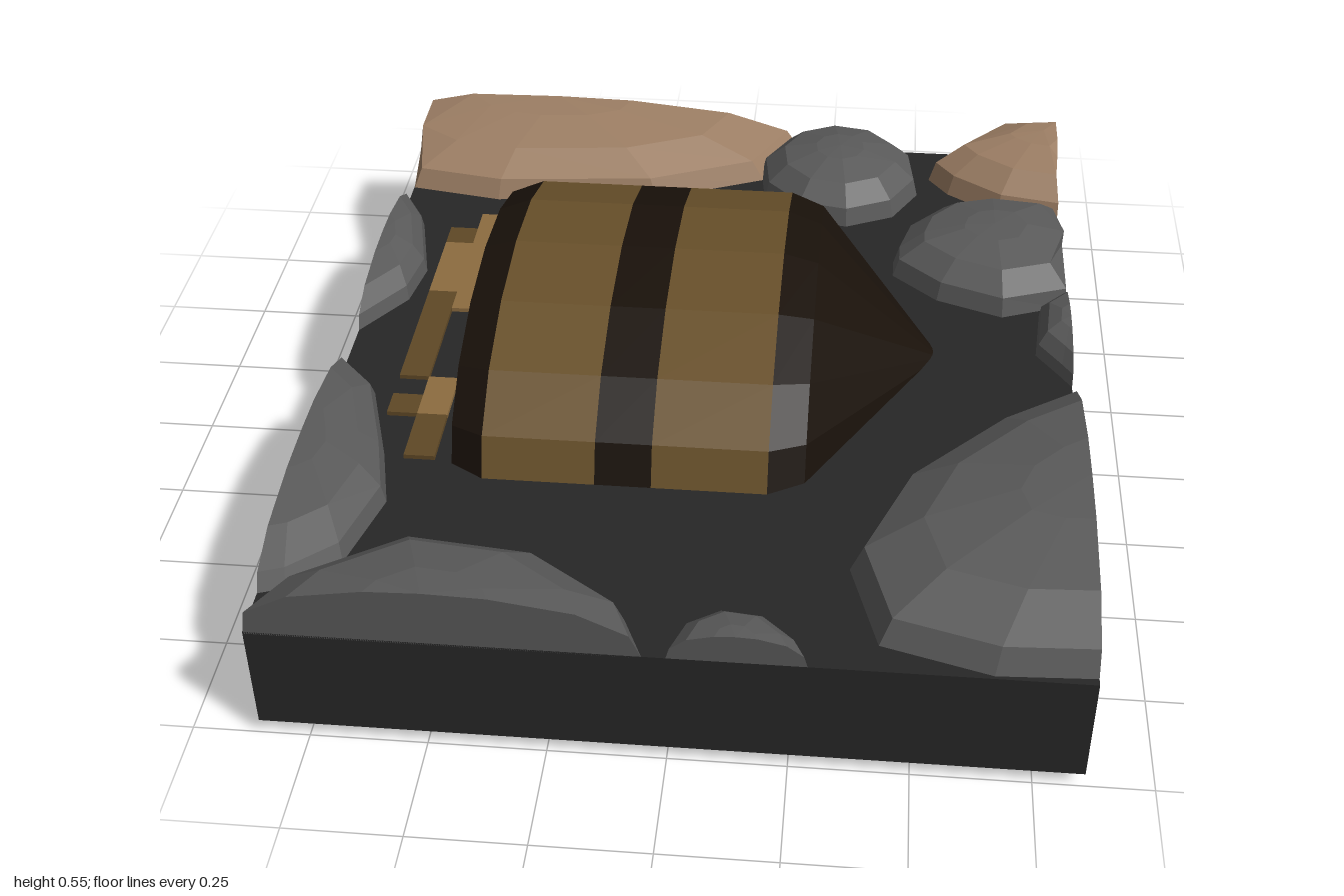
import * as THREE from 'three';

const HX = 0.855, HZ = 1, GROUND = 0.29;
const mat = (color) => new THREE.MeshStandardMaterial({ color, flatShading: true, side: THREE.DoubleSide });
const GREY = mat(0x5a5a5a), TAN = mat(0x9c7e64), BLACK = mat(0x19110a), BROWN = mat(0x68502a);
const SLAB = mat(0x272727), LIGHT = mat(0x8c6c40), DARK = mat(0x5f4826);

// Faceted dome: outline [x, z] shrinks in rings to a peak [x, y, z]; anything past the slab is cut off flat
function dome(outline, [px, py, pz]) {
  const pts = outline.map(([x, z]) => new THREE.Vector2(x, z));
  if (!THREE.ShapeUtils.isClockWise(pts)) pts.reverse();
  const rings = [[1, 0], [0.94, 0.42], [0.7, 0.78], [0.3, 0.97], [0, 1]];
  const n = pts.length, pos = [], idx = [];
  for (const [s, h] of rings) {
    for (const p of pts) {
      pos.push(
        THREE.MathUtils.clamp(px + (p.x - px) * s, -HX, HX),
        GROUND - 0.005 + (py - GROUND + 0.005) * h,
        THREE.MathUtils.clamp(pz + (p.y - pz) * s, -HZ, HZ));
    }
  }
  for (let r = 0; r < rings.length - 1; r++) {
    for (let i = 0; i < n; i++) {
      const a = r * n + i, b = r * n + (i + 1) % n;
      idx.push(a, b, a + n);
      if (r < rings.length - 2) idx.push(b, b + n, a + n);
    }
  }
  const g = new THREE.BufferGeometry();
  g.setAttribute('position', new THREE.Float32BufferAttribute(pos, 3));
  g.setIndex(idx);
  g.computeVertexNormals();
  return g;
}

// Regular outline for round stones
const round = (cx, cz, r, n) => Array.from({ length: n }, (_, i) => {
  const a = (i + 0.3) / n * Math.PI * 2;
  return [cx + r * Math.cos(a), cz + r * Math.sin(a)];
});

export function createModel() {
  const model = new THREE.Group();
  const add = (parent, name, geometry, material) => {
    const m = new THREE.Mesh(geometry, material);
    m.name = name;
    parent.add(m);
    return m;
  };

  // Ground slab
  add(model, 'groundSlab', new THREE.BoxGeometry(HX * 2, 0.255, HZ * 2), SLAB).position.y = 0.1625;

  // Striped body: sixteen-sided, squashed, lying along x with a pointed +x end
  const body = new THREE.Group();
  body.name = 'stripedBody';
  body.position.set(0, 0.275, -0.075);
  model.add(body);
  const sections = [
    ['flatEnd', BLACK, [[-0.535, 0], [-0.535, 0.92], [-0.46, 1]]],
    ['rearBrownBand', BROWN, [[-0.46, 1], [-0.21, 1]]],
    ['blackBand', BLACK, [[-0.21, 1], [-0.085, 1]]],
    ['frontBrownBand', BROWN, [[-0.085, 1], [0.17, 1]]],
    ['pointedEnd', BLACK, [[0.17, 1], [0.25, 0.92], [0.55, 0]]],
  ];
  for (const [name, material, profile] of sections) {
    const g = new THREE.LatheGeometry(profile.map(([x, r]) => new THREE.Vector2(r, x)), 16);
    g.rotateZ(-Math.PI / 2);
    g.scale(1, 0.275, 0.565);
    add(body, name, g, material);
  }

  // Stones around the rim
  const stones = new THREE.Group();
  stones.name = 'stones';
  model.add(stones);
  const list = [
    ['backLongStone', TAN, [-0.5, 0.42, -1],
      [[-1.3, -1], [-1.1, -0.8], [-0.855, -0.7], [-0.62, -0.66], [-0.2, -0.7], [0.08, -0.82], [0.17, -1]]],
    ['backRoundStone', GREY, [0.28, 0.41, -0.82], round(0.28, -0.82, 0.215, 10)],
    ['backCornerStone', TAN, [0.82, 0.425, -0.92],
      [[0.52, -0.86], [0.57, -0.79], [0.7, -0.7], [0.86, -0.67], [1.1, -0.8], [1.1, -1.1], [0.68, -1.05]]],
    ['sideRoundStone', GREY, [0.68, 0.41, -0.47],
      [[0.43, -0.45], [0.46, -0.56], [0.55, -0.66], [0.68, -0.7], [0.85, -0.68], [0.95, -0.5],
        [0.87, -0.29], [0.7, -0.23], [0.54, -0.29], [0.43, -0.39]]],
    ['sideSmallStone', GREY, [HX, 0.37, -0.14],
      [[HX, -0.32], [0.79, -0.25], [0.775, -0.08], [0.83, 0], [HX, 0.04]]],
    ['frontCornerStone', GREY, [HX, 0.43, 0.52],
      [[HX, 0.1], [0.68, 0.22], [0.46, 0.45], [0.355, 0.71], [0.42, 0.93], [0.65, 0.995], [HX, 0.985]]],
    ['frontLongStone', GREY, [-0.48, 0.425, 1],
      [[-0.87, 1], [-0.8, 0.88], [-0.57, 0.73], [-0.29, 0.76], [-0.09, 0.9], [-0.045, 1]]],
    ['frontSmallStone', GREY, [0.14, 0.36, 1],
      [[0, 1], [0.03, 0.92], [0.1, 0.875], [0.19, 0.885], [0.26, 0.95], [0.285, 1]]],
    ['sideLongStone', GREY, [-HX, 0.39, 0.47],
      [[-HX, 0.1], [-0.76, 0.2], [-0.69, 0.42], [-0.65, 0.58], [-0.7, 0.78], [-0.8, 0.87], [-HX, 0.89]]],
    ['sideBackStone', GREY, [-HX, 0.38, -0.35],
      [[-HX, -0.63], [-0.79, -0.52], [-0.74, -0.31], [-0.76, -0.18], [-HX, -0.04]]],
  ];
  for (const [name, material, peak, outline] of list) add(stones, name, dome(outline, peak), material);

  // Thin stepped tiles beside the flat end: column x, start z, end z
  const tiles = new THREE.Group();
  tiles.name = 'steppedTiles';
  model.add(tiles);
  const strips = [
    [-0.68, -0.5, -0.43, DARK], [-0.68, -0.43, -0.21, LIGHT], [-0.68, -0.21, 0.14, DARK], [-0.68, 0.21, 0.28, DARK],
    [-0.61, -0.57, -0.14, LIGHT], [-0.61, 0.14, 0.28, LIGHT], [-0.61, 0.28, 0.43, DARK],
    [-0.54, -0.65, -0.57, DARK], [-0.54, -0.57, -0.07, LIGHT],
  ];
  for (const [x, z0, z1, material] of strips) {
    add(tiles, 'tile', new THREE.BoxGeometry(0.07, 0.015, z1 - z0), material)
      .position.set(x, GROUND + 0.003, (z0 + z1) / 2);
  }
  return model;
}
